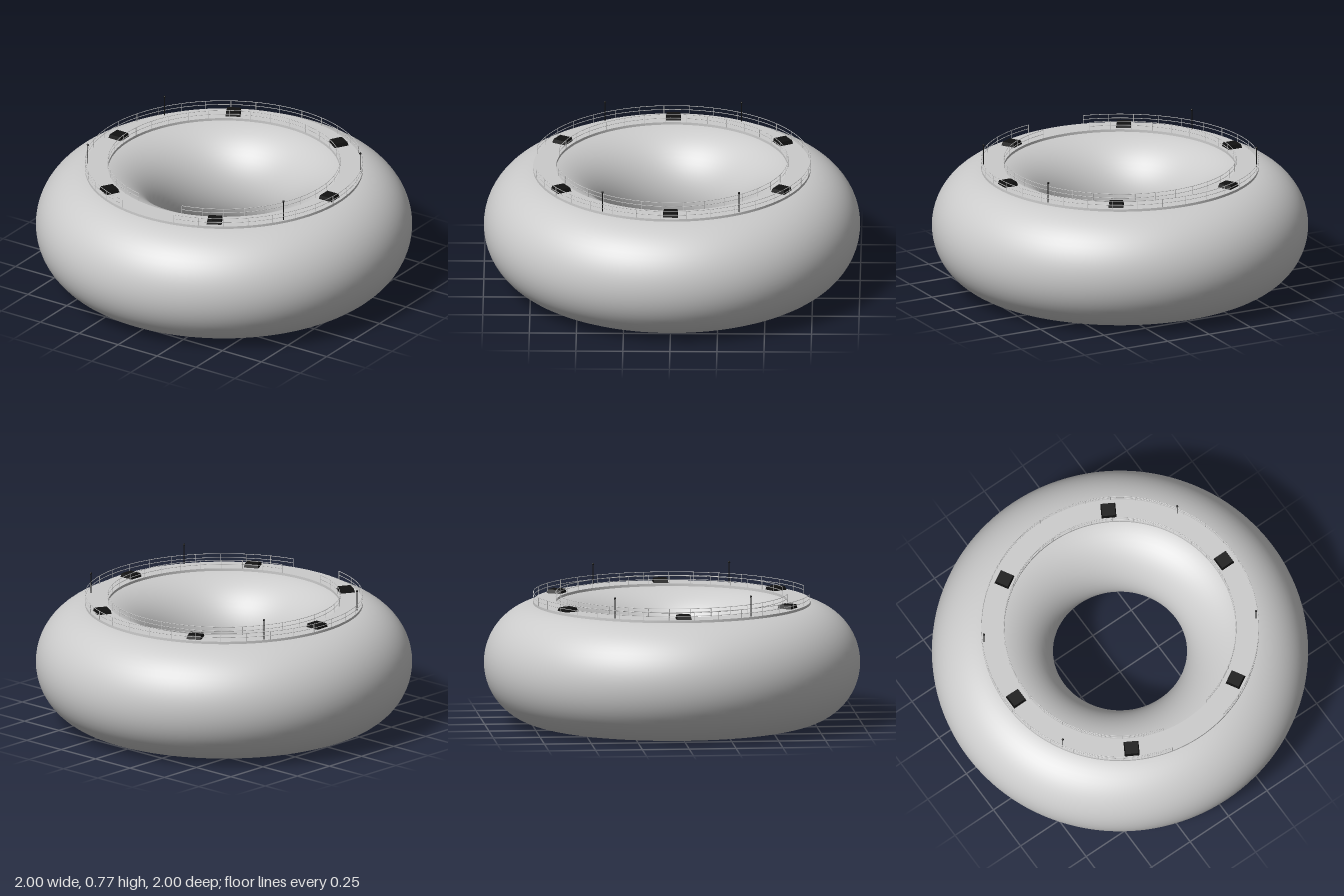
import * as THREE from 'three';

const grey = new THREE.MeshStandardMaterial({ color: 0xcccccc });
const black = new THREE.MeshStandardMaterial({ color: 0x111111 });

const RING = 0.678, TUBE = 0.322; // main ring: centre radius and tube radius
const DECK_TOP = 0.652;
const RAIL_TOP = 0.697;
const GATE = THREE.MathUtils.degToRad(13); // half-angle of the front opening in the railings

function addMesh(parent, name, geometry, material = grey) {
  const mesh = new THREE.Mesh(geometry, material);
  mesh.name = name;
  parent.add(mesh);
  return mesh;
}

// Places an object on a circle; angle runs from +x towards +z.
function placeOnCircle(object, radius, angle, y) {
  object.position.set(radius * Math.cos(angle), y, radius * Math.sin(angle));
  object.rotation.y = -angle;
}

// Railing with two bars and evenly spaced posts, open at the front.
function createRailing(name, radius, postCount) {
  const railing = new THREE.Group();
  railing.name = name;
  const start = Math.PI / 2 + GATE;
  const sweep = 2 * Math.PI - 2 * GATE;

  for (const y of [0.675, RAIL_TOP]) {
    const bar = addMesh(railing, 'railBar', new THREE.TorusGeometry(radius, 0.0016, 6, 128, sweep));
    bar.rotation.set(Math.PI / 2, 0, start);
    bar.position.y = y;
  }
  const height = RAIL_TOP - DECK_TOP;
  const postGeometry = new THREE.CylinderGeometry(0.0016, 0.0016, height, 6);
  for (let i = 0; i < postCount; i++) {
    const post = addMesh(railing, 'railPost', postGeometry);
    placeOnCircle(post, radius, start + (sweep * i) / (postCount - 1), DECK_TOP + height / 2);
  }
  return railing;
}

// Thin pole with a small ball lamp on top.
function createMast() {
  const mast = new THREE.Group();
  mast.name = 'mast';
  const height = 0.76 - DECK_TOP;
  const pole = addMesh(mast, 'mastPole', new THREE.CylinderGeometry(0.0025, 0.0025, height, 8), black);
  pole.position.y = height / 2;
  const lamp = addMesh(mast, 'mastLamp', new THREE.SphereGeometry(0.006, 12, 8), black);
  lamp.position.y = height;
  return mast;
}

export function createModel() {
  const model = new THREE.Group();
  model.name = 'ringHabitat';

  // Main ring body
  const body = addMesh(model, 'ringBody', new THREE.TorusGeometry(RING, TUBE, 64, 160));
  body.rotation.x = Math.PI / 2;
  body.position.y = TUBE;

  // Flat walkway round the crown of the ring
  const deckShape = new THREE.Shape().absarc(0, 0, 0.738, 0, 2 * Math.PI);
  deckShape.holes.push(new THREE.Path().absarc(0, 0, 0.616, 0, 2 * Math.PI, true));
  const deck = addMesh(model, 'walkway', new THREE.ExtrudeGeometry(deckShape, {
    depth: 0.014, bevelEnabled: false, curveSegments: 128,
  }));
  deck.rotation.x = -Math.PI / 2;
  deck.position.y = DECK_TOP - 0.014;

  // Railings on both edges of the walkway
  model.add(createRailing('outerRailing', 0.737, 33));
  model.add(createRailing('innerRailing', 0.617, 33));

  // Six square hatches with sloping sides
  const hatchGeometry = new THREE.CylinderGeometry(0.035 * Math.SQRT2, 0.04 * Math.SQRT2, 0.02, 4).toNonIndexed();
  hatchGeometry.rotateY(Math.PI / 4);
  hatchGeometry.computeVertexNormals();
  for (let i = 0; i < 6; i++) {
    const hatch = addMesh(model, 'hatch', hatchGeometry, black);
    placeOnCircle(hatch, 0.676, (i * Math.PI) / 3, DECK_TOP + 0.01);
  }

  // Four masts by the outer railing
  for (const degrees of [30, 150, 210, 330]) {
    const mast = createMast();
    placeOnCircle(mast, 0.726, THREE.MathUtils.degToRad(degrees), DECK_TOP);
    model.add(mast);
  }
  return model;
}
